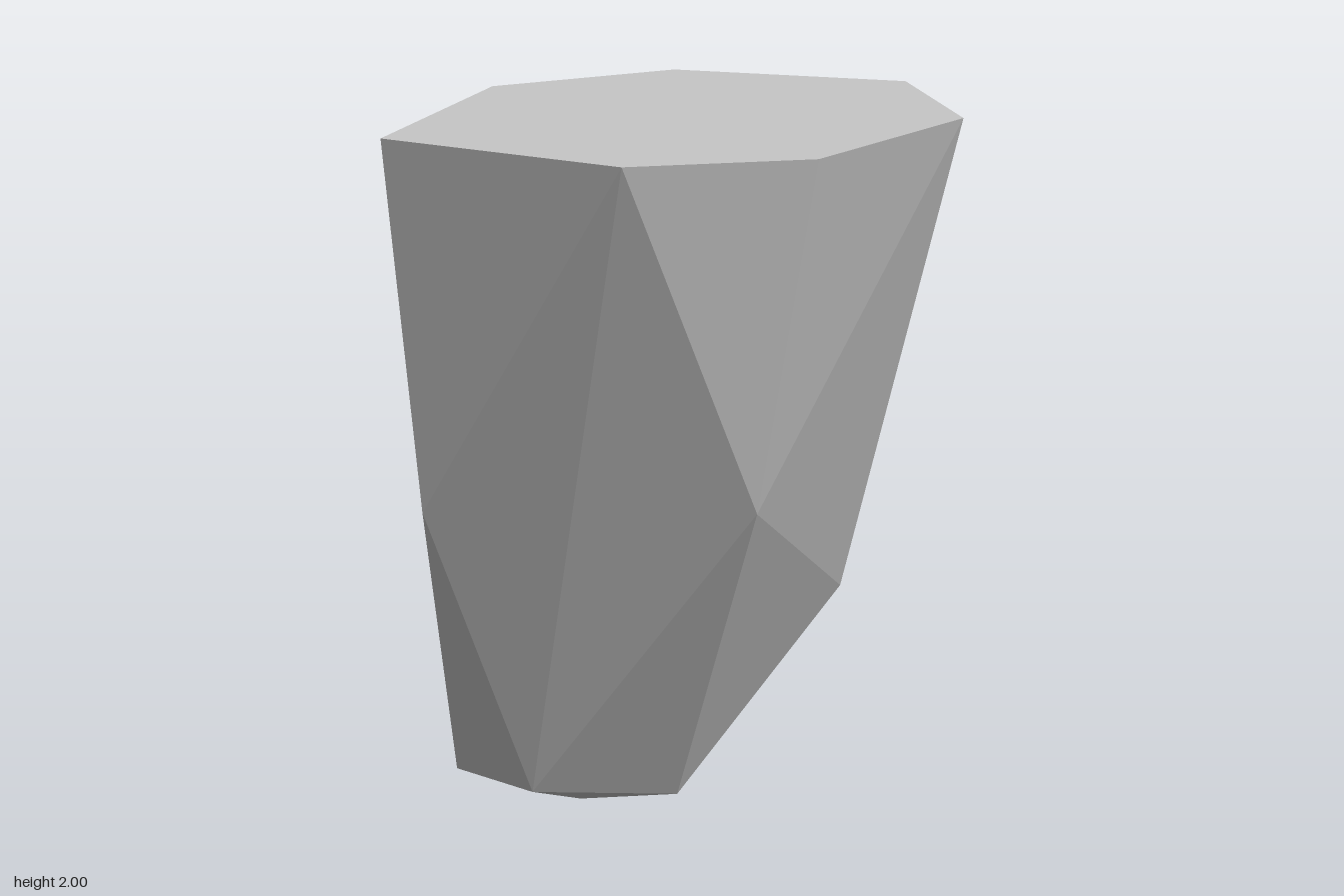
import * as THREE from 'three';
import { ConvexGeometry } from 'three/addons/geometries/ConvexGeometry.js';

export function createModel() {
  const stone = new THREE.MeshStandardMaterial({ color: 0xc6c6c6 });
  stone.name = 'light grey stone';

  // flat seven-sided top, as x, z
  const top = [
    [-0.535, 0.65], [0.10, 0.85], [0.495, 0.645], [0.72, 0.03],
    [0.485, -0.495], [-0.15, -0.535], [-0.53, -0.14],
  ].map(([x, z]) => [x, 2, z]);

  // chipped corners down the sides
  const sides = [
    [0.32, 1.1, 0.46], [0.38, 0.67, -0.28], [-0.545, 1.02, 0.425], [-0.72, 0.46, -0.2],
  ];

  // slanted foot, leaning to the back
  const foot = [
    [0, 0.135, 0], [-0.37, 0.15, 0.12], [-0.63, 0.135, -0.01],
    [-0.06, 0.185, -0.845], [-0.59, 0.205, -0.85],
    [-0.33, 0, -0.19], [-0.33, 0.055, -0.61],
  ];

  // faceted hull through all the corners
  const corners = [...top, ...sides, ...foot].map((p) => new THREE.Vector3(...p));
  const rock = new THREE.Mesh(new ConvexGeometry(corners), stone);
  rock.name = 'rock';

  const group = new THREE.Group();
  group.name = 'facetedRock';
  group.add(rock);
  return group;
}
